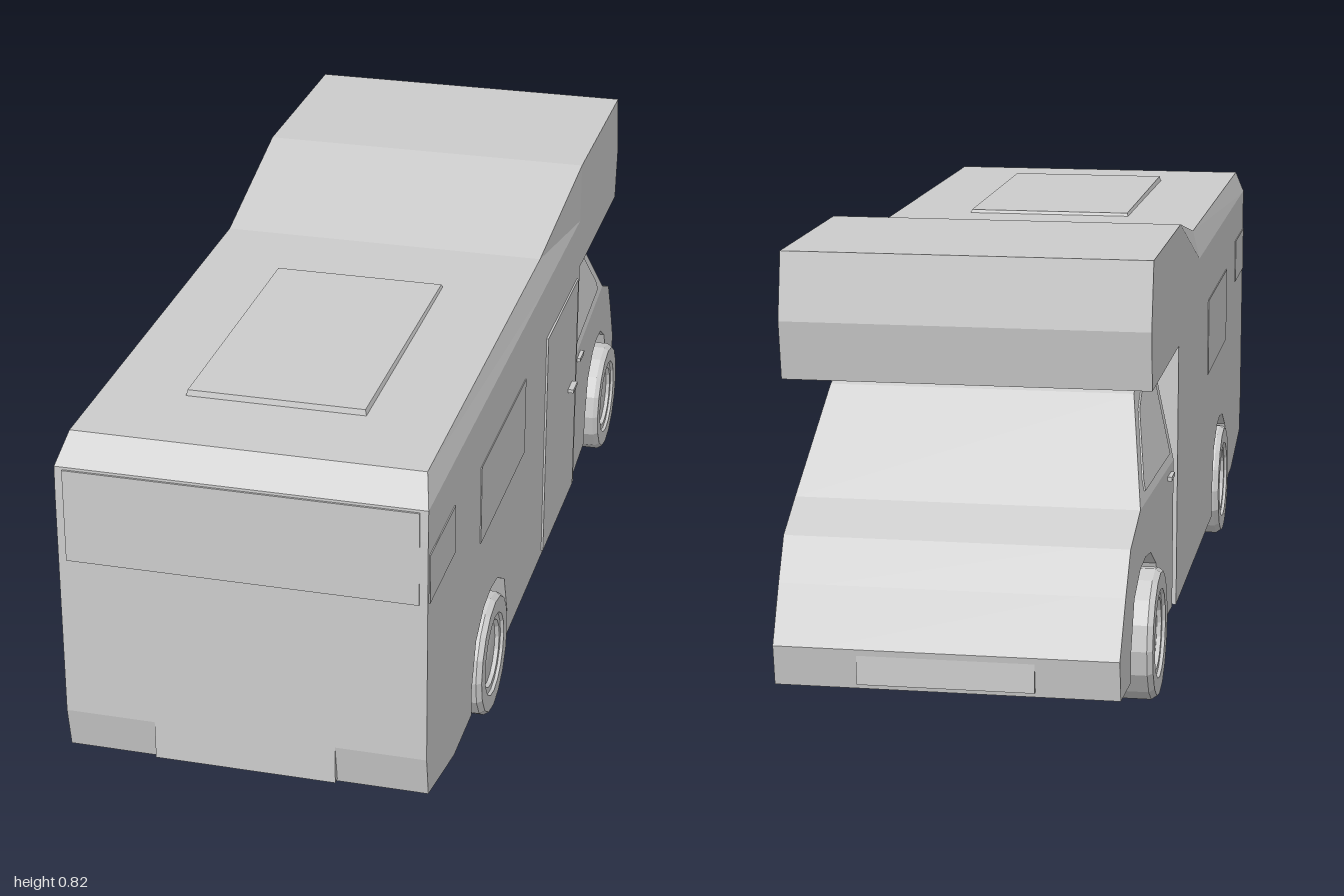
import * as THREE from 'three';

const mat = new THREE.MeshStandardMaterial({ color: 0xcccccc, flatShading: true });
const HALF = 0.339, INNER = 0.25;
const AXLES = { rear: 0.48, front: -0.72 }, FLOOR = 0.075;

export function createModel() {
  const root = new THREE.Group();
  root.name = 'motorhome';
  root.position.x = -0.004;

  const add = (name, geo, x = 0, y = 0, z = 0) => {
    const m = new THREE.Mesh(geo, mat);
    m.name = name;
    m.position.set(x, y, z);
    root.add(m);
    return m;
  };

  // box given by its extents on each axis
  const block = (name, [x0, x1], [y0, y1], [z0, z1]) =>
    add(name, new THREE.BoxGeometry(x1 - x0, y1 - y0, z1 - z0),
      (x0 + x1) / 2, (y0 + y1) / 2, (z0 + z1) / 2);

  // side profile of [z, y] points, extruded from x0 to x1
  const slab = (pts, x0, x1) => {
    const shape = new THREE.Shape(pts.map(p => new THREE.Vector2(p[0], p[1])));
    const g = new THREE.ExtrudeGeometry(shape, { depth: x1 - x0, bevelEnabled: false });
    return g.rotateY(-Math.PI / 2).translate(x1, 0, 0);
  };

  // faceted wheel arch cut, running from the rear side to the front side
  const arch = c => [[0.155, FLOOR], [0.158, 0.13], [0.125, 0.22], [0.06, 0.258], [0, 0.266],
    [-0.06, 0.258], [-0.125, 0.22], [-0.158, 0.13], [-0.155, FLOOR]].map(([z, y]) => [c + z, y]);

  // solid core with two outer slabs that carry the wheel arches
  const archedBody = (name, before, c, after, widthAt) => {
    const full = [...before, ...after], cut = [...before, ...arch(c), ...after];
    const parts = [[full, -INNER, INNER, 'Core'], [cut, INNER, HALF, 'LeftSide'], [cut, -HALF, -INNER, 'RightSide']];
    for (const [pts, x0, x1, suffix] of parts) {
      const g = slab(pts, x0, x1), p = g.attributes.position;
      if (widthAt) for (let i = 0; i < p.count; i++) p.setX(i, p.getX(i) * widthAt(p.getZ(i)) / HALF);
      g.computeVertexNormals();
      add(name + suffix, g);
    }
  };

  // four-cornered sections [zLow, yLow, wLow, zHigh, yHigh, wHigh], ordered from +z to -z
  const loft = stations => {
    const rings = stations.map(([z0, y0, w0, z1, y1, w1]) =>
      [[-w0, y0, z0], [-w1, y1, z1], [w1, y1, z1], [w0, y0, z0]]);
    const v = [];
    const quad = (a, b, c, d) => v.push(...a, ...b, ...c, ...a, ...c, ...d);
    for (let i = 0; i < rings.length - 1; i++) {
      const A = rings[i], B = rings[i + 1];
      for (let k = 0; k < 4; k++) quad(A[k], A[(k + 1) % 4], B[(k + 1) % 4], B[k]);
    }
    const F = rings[0], L = rings[rings.length - 1];
    quad(F[0], F[3], F[2], F[1]);
    quad(L[0], L[1], L[2], L[3]);
    const g = new THREE.BufferGeometry();
    g.setAttribute('position', new THREE.Float32BufferAttribute(v, 3));
    g.computeVertexNormals();
    return g;
  };

  // living compartment, with the sleeping berth over the cab
  archedBody('livingBody', [[0.998, 0.7], [1, 0.64], [1, 0.2], [0.985, 0.12], [0.78, FLOOR]], AXLES.rear,
    [[-0.37, FLOOR], [-0.37, 0.59], [-0.79, 0.59], [-0.808, 0.7]]);

  // roof with sloped edges, rising over the cab
  add('roof', loft([
    [0.998, 0.7, HALF, 0.998, 0.7, HALF],
    [0.95, 0.7, HALF, 0.95, 0.75, 0.325],
    [0, 0.7, HALF, 0, 0.757, 0.325],
    [-0.36, 0.7, HALF, -0.36, 0.825, HALF],
    [-0.808, 0.7, HALF, -0.785, 0.825, HALF],
  ]));
  add('roofHatch', loft([
    [0.77, 0.745, 0.17, 0.765, 0.762, 0.166],
    [0.18, 0.75, 0.17, 0.185, 0.762, 0.166],
  ]));

  // lower cab and bonnet, narrowing towards the nose
  const cabWidth = z => 0.333 + (z + 0.385) * 0.036;
  archedBody('cab', [[-0.385, 0.37], [-0.385, FLOOR]], AXLES.front,
    [[-0.985, FLOOR], [-0.998, 0.15], [-0.94, 0.25], [-0.89, 0.325], [-0.785, 0.37]], cabWidth);

  // upper cab and windscreen, leaning inwards
  const cabSection = (z0, y0, z1, y1, out = 0) => {
    const w = (z, y) => cabWidth(z) - (y - 0.37) * 0.214 + out;
    return [z0, y0, w(z0, y0), z1, y1, w(z1, y1)];
  };
  add('cabTop', loft([
    cabSection(-0.385, 0.37, -0.385, 0.58),
    cabSection(-0.53, 0.37, -0.54, 0.58),
    cabSection(-0.61, 0.37, -0.63, 0.55),
    cabSection(-0.785, 0.37, -0.785, 0.37),
  ]));
  add('cabSideWindows', loft([
    cabSection(-0.42, 0.39, -0.42, 0.54, 0.003),
    cabSection(-0.55, 0.39, -0.57, 0.54, 0.003),
    cabSection(-0.6, 0.39, -0.62, 0.52, 0.003),
    cabSection(-0.72, 0.39, -0.715, 0.41, 0.003),
  ]));
  block('cabPassage', [-0.27, 0.27], [0.09, 0.56], [-0.4, -0.36]);
  block('nosePanel', [-0.16, 0.16], [0.085, 0.14], [-0.996, -0.95]);

  // rear window and number plate panel
  block('rearWindow', [-0.324, 0.324], [0.515, 0.695], [0.97, 1.002]);
  block('rearPanel', [-0.17, 0.17], [0.125, 0.2], [0.95, 1]);

  // entrance door, on one side only
  block('entranceDoor', [0.32, 0.343], [0.085, 0.575], [-0.34, -0.02]);
  block('entranceDoorHandle', [0.34, 0.355], [0.345, 0.353], [-0.3, -0.255]);

  // tyre profile and dished rim, turned about the axle
  const wheelProfile = [[0, -0.044], [0.1, -0.044], [0.122, -0.034], [0.122, 0.034], [0.115, 0.044],
    [0.083, 0.044], [0.08, 0.038], [0.068, 0.038], [0.065, 0.03], [0, 0.034]];
  const wheelGeo = new THREE.LatheGeometry(wheelProfile.map(p => new THREE.Vector2(...p)), 16);

  for (const s of [-1, 1]) {
    const side = s > 0 ? 'left' : 'right';
    const span = (a, b) => s > 0 ? [a, b] : [-b, -a];
    block(side + 'LivingWindow', span(0.32, 0.341), [0.42, 0.58], [0.19, 0.585]);
    block(side + 'RearCornerWindow', span(0.32, 0.341), [0.515, 0.61], [0.8, 0.99]);
    block(side + 'CabDoorHandle', span(0.32, 0.339), [0.345, 0.353], [-0.46, -0.415]);
    for (const [end, z] of Object.entries(AXLES)) {
      const wheel = add(`${side}${end === 'rear' ? 'Rear' : 'Front'}Wheel`, wheelGeo, s * 0.305, 0.122, z);
      wheel.rotation.z = -s * Math.PI / 2;
    }
  }
  return root;
}
